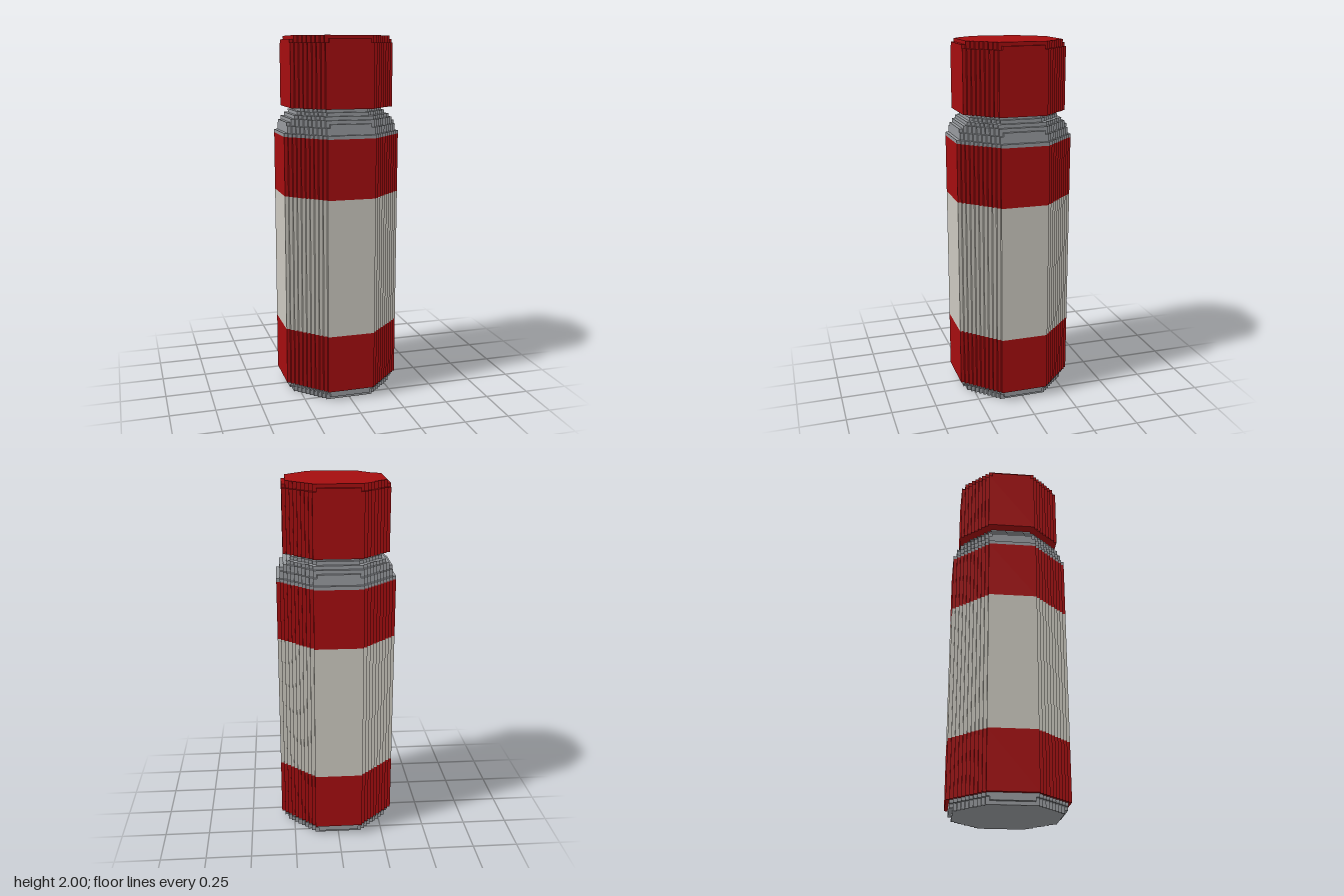
import * as THREE from 'three';

const V = 2 / 105; // size of one voxel step

const red = new THREE.MeshStandardMaterial({ name: 'red paint', color: 0xa40d0f });
const cream = new THREE.MeshStandardMaterial({ name: 'cream label', color: 0xcbc8bf });
const grey = new THREE.MeshStandardMaterial({ name: 'grey metal', color: 0x979a9e });

// Octagon with stair-stepped diagonals: r = half extent, f = half flat side, in voxels
function steppedOctagon(r, f) {
  const quarter = [];
  for (let i = 0; i < r - f; i++) {
    quarter.push([r - i, f + i], [r - i - 1, f + i]);
  }
  quarter.push([f, r]);
  const points = [];
  for (let q = 0; q < 4; q++) {
    for (const [x, y] of quarter) {
      const p = [[x, y], [-y, x], [-x, -y], [y, -x]][q];
      points.push(new THREE.Vector2(p[0] * V, p[1] * V));
    }
  }
  return new THREE.Shape(points);
}

// One prism between two voxel heights
function layer(name, material, from, to, r, f) {
  const geometry = new THREE.ExtrudeGeometry(steppedOctagon(r, f), {
    depth: (to - from) * V, bevelEnabled: false,
  });
  geometry.rotateX(-Math.PI / 2);
  geometry.translate(0, from * V, 0);
  const mesh = new THREE.Mesh(geometry, material);
  mesh.name = name;
  return mesh;
}

// Layers are [from, to, half extent, half flat side]
function part(name, material, layers) {
  const group = new THREE.Group();
  group.name = name;
  layers.forEach((l, i) => group.add(layer(`${name}Layer${i + 1}`, material, ...l)));
  return group;
}

export function createModel() {
  const model = new THREE.Group();
  model.name = 'bottle';
  model.add(
    // Bevelled metal foot
    part('base', grey, [[0, 1, 15, 7], [1, 2, 16, 6], [2, 3, 16, 7]]),
    // Body bands
    part('lowerBand', red, [[3, 20, 17, 7]]),
    part('label', cream, [[20, 60, 17, 7]]),
    part('upperBand', red, [[60, 77, 17, 7]]),
    // Shoulder stepping in to the neck
    part('shoulder', grey, [
      [77, 78, 17, 7], [78, 80, 16, 7], [80, 81, 16, 6],
      [81, 82, 15, 7], [82, 83, 14, 7], [83, 84, 13, 6], [84, 85, 12, 6],
    ]),
    // Cap with a bevelled top edge
    part('cap', red, [[85, 103, 15, 7], [103, 104, 15, 6], [104, 105, 14, 7]]),
  );
  return model;
}
